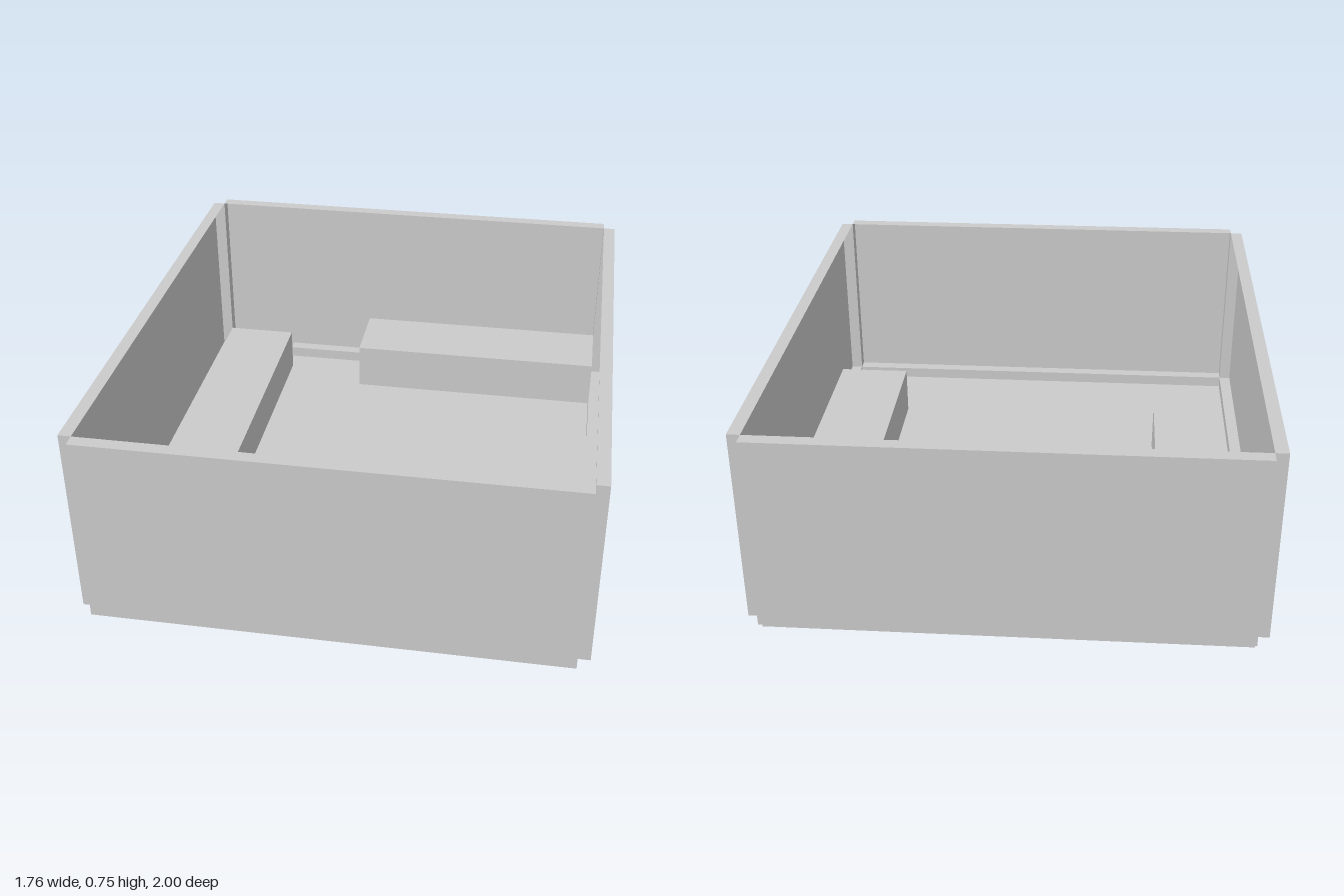
import * as THREE from 'three';

const material = new THREE.MeshStandardMaterial({ color: 0xcccccc, flatShading: true, side: THREE.DoubleSide });

// Face order of BoxGeometry, used to leave one side of a panel open
const FACES = ['+x', '-x', '+y', '-y', '+z', '-z'];

// Box from its extents [min, max] on each axis, optionally without one face
function block(name, [x0, x1], [y0, y1], [z0, z1], openFace) {
  const geometry = new THREE.BoxGeometry(x1 - x0, y1 - y0, z1 - z0);
  if (openFace) {
    const first = FACES.indexOf(openFace) * 6;
    const kept = Array.from(geometry.index.array).filter((_, i) => i < first || i >= first + 6);
    geometry.setIndex(kept);
    geometry.clearGroups();
  }
  const mesh = new THREE.Mesh(geometry, material);
  mesh.name = name;
  mesh.position.set((x0 + x1) / 2, (y0 + y1) / 2, (z0 + z1) / 2);
  return mesh;
}

export function createModel() {
  const group = new THREE.Group();
  group.name = 'openTray';

  // Inner room and the outer limits of the panels around it
  const X = 0.833, Z = 0.953, FLOOR = 0.044, TOP = 0.75;
  const OUT_X = 0.878, OUT_Z = 1;

  // Floor and walls are shallow pans, open towards the room, with notched corners
  group.add(
    block('floor', [-X, X], [0, FLOOR], [-Z, Z], '+y'),
    block('leftWall', [X, OUT_X], [FLOOR, TOP], [-Z, Z], '-x'),
    block('rightWall', [-OUT_X, -X], [FLOOR, TOP], [-Z, Z], '+x'),
    block('frontWall', [-X, X], [FLOOR, TOP], [Z, OUT_Z], '-z'),
    block('backWall', [-X, X], [FLOOR, TOP], [-OUT_Z, -Z], '+z'),
  );

  // Low blocks standing inside
  group.add(
    block('longBlock', [-0.785, -0.51], [FLOOR, 0.215], [-0.79, 0.317]),
    block('sideBlock', [0.555, X], [FLOOR, 0.23], [-0.123, 0.555]),
    block('backBlock', [-0.18, X], [FLOOR, 0.23], [-Z, -0.673]),
  );

  return group;
}
